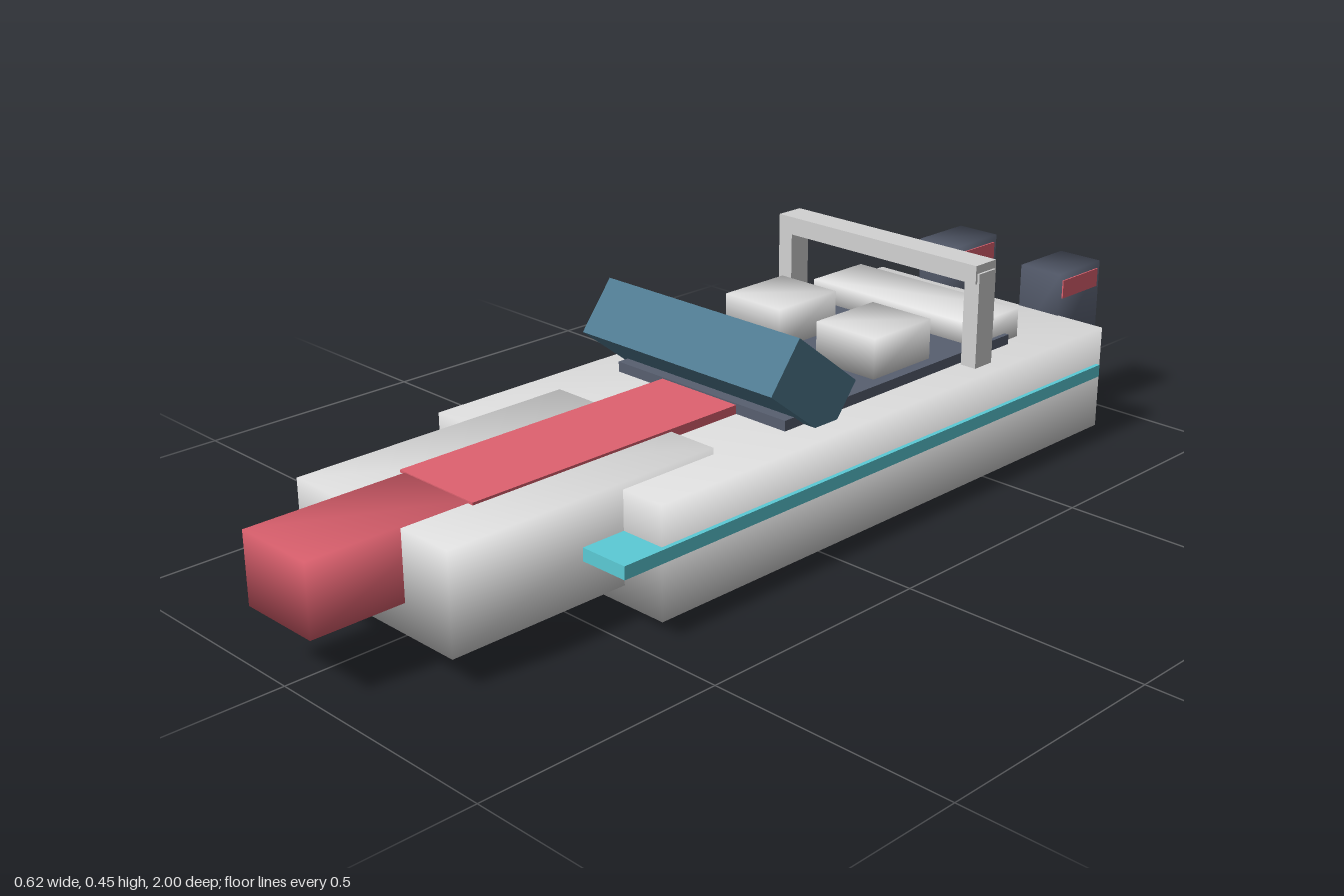
import * as THREE from 'three';
import { mergeVertices } from 'three/addons/utils/BufferGeometryUtils.js';

const material = (name, color) => {
  const m = new THREE.MeshStandardMaterial({ color });
  m.name = name;
  return m;
};

// Box with one shared normal per corner, for softly shaded parts
function softBox(w, h, d) {
  let g = new THREE.BoxGeometry(w, h, d);
  g.deleteAttribute('normal');
  g.deleteAttribute('uv');
  g = mergeVertices(g);
  g.computeVertexNormals();
  return g;
}

export function createModel() {
  const boat = new THREE.Group();
  boat.name = 'speedboat';

  const white = material('hull white', 0xe2e2e2);
  const red = material('red', 0xdf6270);
  const teal = material('teal', 0x5bcbd6);
  const glass = material('windshield blue', 0x4f7a90);
  const dark = material('dark slate', 0x585f70);
  const grey = material('light grey', 0xd2d2d2);

  // Adds a box given its min and max on each axis
  function part(name, mat, [x0, x1], [y0, y1], [z0, z1], soft = false, parent = boat) {
    const size = [x1 - x0, y1 - y0, z1 - z0];
    const mesh = new THREE.Mesh(soft ? softBox(...size) : new THREE.BoxGeometry(...size), mat);
    mesh.position.set((x0 + x1) / 2, (y0 + y1) / 2, (z0 + z1) / 2);
    mesh.name = name;
    parent.add(mesh);
    return mesh;
  }

  // Stepped hull
  part('hull', white, [-0.303, 0.303], [0.02, 0.241], [-0.858, 0.43], true);
  part('bow', white, [-0.208, 0.208], [0.058, 0.254], [0.21, 0.812], true);
  part('noseTip', red, [-0.087, 0.087], [0.118, 0.257], [0.66, 1.0], true);
  part('rubRail', teal, [-0.312, 0.312], [0.137, 0.163], [-0.845, 0.525]);

  // Deck
  part('deckStripe', red, [-0.1, 0.1], [0.236, 0.259], [-0.78, 0.672]);
  part('cockpitFloor', dark, [-0.225, 0.225], [0.225, 0.262], [-0.635, 0.04]);
  part('rearBench', white, [-0.215, 0.215], [0.245, 0.307], [-0.678, -0.525], true);

  // Tilted windshield block
  const windshield = part('windshield', glass, [-0.253, 0.253], [0.26, 0.38], [-0.108, 0.092]);
  windshield.rotation.x = -0.66;

  // Arch over the cockpit
  part('archBar', grey, [-0.263, 0.263], [0.417, 0.455], [-0.528, -0.465]);

  for (const side of [-1, 1]) {
    const label = side > 0 ? 'left' : 'right';
    const span = (a, b) => [side * a, side * b].sort((p, q) => p - q);

    part(label + 'Seat', white, span(0.05, 0.2), [0.26, 0.345], [-0.408, -0.238], true);
    part(label + 'ArchPost', grey, span(0.232, 0.268), [0.235, 0.438], [-0.522, -0.47]);

    // Outboard engine
    const engine = new THREE.Group();
    engine.name = label + 'Engine';
    engine.position.x = side * 0.14;
    boat.add(engine);
    const add = (name, mat, x, y, z, soft) => part(name, mat, [-x, x], y, z, soft, engine);
    add('engineCowl', dark, 0.051, [0.153, 0.333], [-1.0, -0.855], true);
    add('engineBand', red, 0.054, [0.278, 0.318], [-0.99, -0.865]);
    add('engineLeg', dark, 0.018, [0.016, 0.16], [-0.967, -0.9]);
    add('propellerBladeUpright', grey, 0.011, [0.002, 0.12], [-0.993, -0.983]);
    add('propellerBladeLevel', grey, 0.059, [0.05, 0.072], [-0.993, -0.983]);
  }

  return boat;
}
